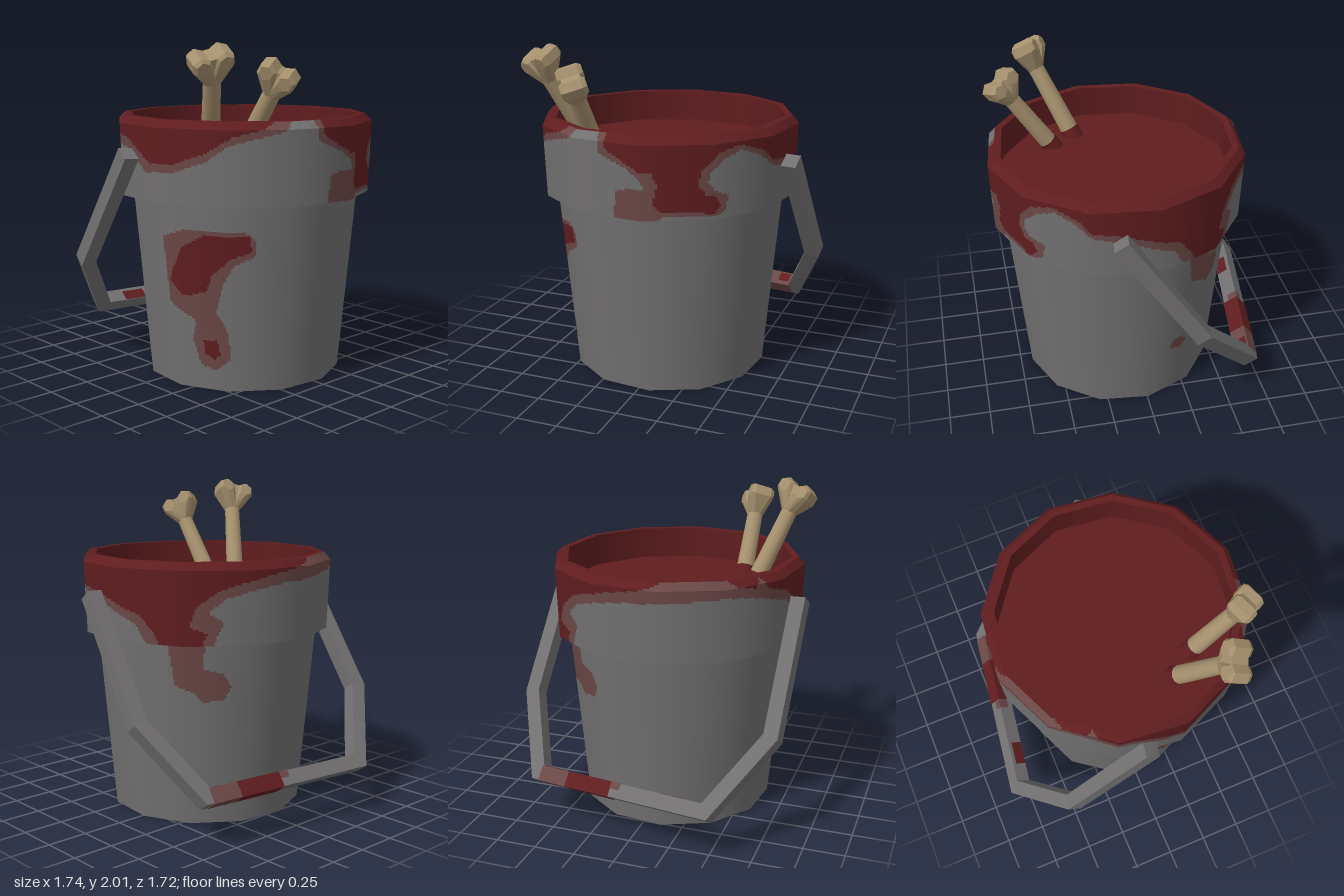
import * as THREE from 'three';
import { ConvexGeometry } from 'three/addons/geometries/ConvexGeometry.js';

const V = (x, y, z) => new THREE.Vector3(x, y, z);
const mat = (name, color) => Object.assign(new THREE.MeshStandardMaterial({ color }), { name });

const SIDES = 12, TURN = 8.6, CX = -0.025, CZ = 0.083;

// Painted areas on the bucket wall, as outlines in (degrees round the bucket, height)
const BLOOD = [
  // splashed band with drips
  [[-180, 1.53], [-172, 1.56], [-167, 1.6], [-142, 1.6], [-135, 1.54], [-126, 1.52], [-123, 1.57], [-118, 1.5],
    [-105, 1.46], [-95, 1.38], [-88, 1.33], [-75, 1.34], [-61, 1.4], [-48, 1.5], [-35, 1.54], [-28, 1.6], [-8, 1.6],
    [-7, 1.5], [0, 1.45], [8, 1.39], [13.5, 1.39], [16, 1.31], [14, 1.21], [17, 1.16], [40, 1.15], [43, 1.19],
    [41, 1.24], [36, 1.26], [33, 1.31], [34, 1.39], [42, 1.49], [52, 1.52], [64, 1.47], [70, 1.4], [80, 1.38],
    [98, 1.32], [108, 1.275], [114, 1.18], [117, 1.1], [136, 1.1], [139, 1.18], [131, 1.22], [134, 1.33],
    [143, 1.42], [155, 1.47], [166, 1.5], [180, 1.53], [180, 1.7], [-180, 1.7]],
  // smear and drop on the body
  [[-76, 0.85], [-64, 0.93], [-40, 0.93], [-39.5, 0.84], [-50, 0.8], [-60, 0.7], [-63, 0.6], [-76, 0.56], [-84, 0.65]],
  [[-65, 0.22], [-66, 0.3], [-58, 0.31], [-56, 0.22], [-60, 0.19]],
];
const STAIN = [
  [[-180, 1.46], [-160, 1.47], [-140, 1.49], [-125, 1.46], [-105, 1.4], [-92, 1.28], [-75, 1.29], [-60, 1.36],
    [-50, 1.45], [-38, 1.49], [-26, 1.53], [-22, 1.6], [-11, 1.6], [-10, 1.47], [3, 1.4], [9, 1.34], [11, 1.29],
    [-2, 1.28], [-4, 1.1], [15, 1.1], [18, 1.13], [42, 1.13], [46, 1.16], [47, 1.24], [40, 1.28], [37, 1.33],
    [38, 1.38], [44, 1.45], [53, 1.49], [63, 1.44], [70, 1.37], [98, 1.27], [106, 1.22], [111, 1.1], [141, 1.1],
    [146, 1.25], [139, 1.3], [147, 1.38], [160, 1.43], [180, 1.46], [180, 1.7], [-180, 1.7]],
  [[-88, 0.9], [-75, 0.955], [-42, 0.955], [-37, 0.9], [-37, 0.82], [-48, 0.76], [-54, 0.65], [-58, 0.48],
    [-52, 0.38], [-50, 0.2], [-59, 0.12], [-68, 0.15], [-72, 0.3], [-70, 0.42], [-86, 0.52]],
  [[118, 1.15], [121, 0.95], [122, 0.86], [132, 0.82], [136, 0.76], [147, 0.77], [151, 0.85], [147, 0.93],
    [137, 0.96], [138, 1.15]],
  [[112, 0.37], [114, 0.41], [120, 0.42], [123, 0.38], [120, 0.33], [114, 0.34]],
];

function inside(poly, x, y) {
  let hit = false;
  for (let i = 0, j = poly.length - 1; i < poly.length; j = i++) {
    const [ax, ay] = poly[i], [bx, by] = poly[j];
    if ((ay > y) !== (by > y) && x < ((bx - ax) * (y - ay)) / (by - ay) + ax) hit = !hit;
  }
  return hit;
}

// 0 metal, 1 blood, 2 stain
function paintAt(deg, y) {
  const d = ((deg + 540) % 360) - 180;
  if (BLOOD.some((p) => inside(p, d, y))) return 1;
  return STAIN.some((p) => inside(p, d, y)) ? 2 : 0;
}

// Twelve-sided wall between two profile points, smooth round, divided finely where painted
function wall(r0, y0, r1, y1, cols, rows, paint) {
  const pos = [], nor = [], lists = [[], [], []];
  const len = Math.hypot(r1 - r0, y1 - y0), nr = (y1 - y0) / len, ny = (r0 - r1) / len;
  const n = SIDES * cols;
  const rad = (k) => ((TURN + (k * 360) / SIDES) * Math.PI) / 180;
  for (let j = 0; j <= rows; j++) {
    const t = j / rows, r = r0 + (r1 - r0) * t, y = y0 + (y1 - y0) * t;
    for (let i = 0; i <= n; i++) {
      const k = Math.floor(i / cols), f = i / cols - k, a = rad(k), b = rad(k + 1), m = rad(i / cols);
      pos.push(r * (Math.sin(a) * (1 - f) + Math.sin(b) * f), y, r * (Math.cos(a) * (1 - f) + Math.cos(b) * f));
      nor.push(nr * Math.sin(m), ny, nr * Math.cos(m));
    }
  }
  for (let j = 0; j < rows; j++) {
    for (let i = 0; i < n; i++) {
      const a = j * (n + 1) + i, d = a + n + 1;
      const c = paint ? paintAt(TURN + ((i + 0.5) * 360) / n, y0 + ((y1 - y0) * (j + 0.5)) / rows) : 0;
      lists[c].push(a, a + 1, d + 1, a, d + 1, d);
    }
  }
  const g = new THREE.BufferGeometry();
  g.setAttribute('position', new THREE.Float32BufferAttribute(pos, 3));
  g.setAttribute('normal', new THREE.Float32BufferAttribute(nor, 3));
  g.setIndex(lists.flat());
  let start = 0;
  lists.forEach((l, c) => { if (l.length) g.addGroup(start, l.length, c); start += l.length; });
  return g;
}

export function createModel() {
  const model = new THREE.Group();
  const metal = mat('grey metal', 0x727070), blood = mat('dark red', 0x601d1f);
  const stain = mat('faded red stain', 0x6b4846), bone = mat('bone', 0xa6916e);
  const add = (parent, name, geo, m) => {
    const mesh = new THREE.Mesh(geo, m);
    mesh.name = name;
    parent.add(mesh);
    return mesh;
  };

  // Bucket: one closed profile, part by part
  const bucket = new THREE.Group();
  bucket.name = 'bucket';
  bucket.position.set(CX, 0, CZ);
  model.add(bucket);
  const painted = [metal, blood, stain];
  add(bucket, 'bottom', wall(0, 0, 0.6, 0, 1, 1), metal);
  add(bucket, 'body', wall(0.6, 0, 0.7, 1.11, 32, 88, true), painted);
  add(bucket, 'bandUnderside', wall(0.7, 1.11, 0.768, 1.11, 1, 1), metal);
  add(bucket, 'band', wall(0.768, 1.11, 0.784, 1.54, 32, 36, true), painted);
  add(bucket, 'rimBevel', wall(0.784, 1.54, 0.745, 1.583, 32, 4, true), painted);
  add(bucket, 'rimTop', wall(0.745, 1.583, 0.702, 1.583, 1, 1), blood);
  add(bucket, 'innerWall', wall(0.702, 1.583, 0.702, 1.385, 1, 1), blood);
  add(bucket, 'liquid', wall(0.702, 1.385, 0, 1.385, 1, 1), blood);

  // Handle: a mitred square bar in its own tilted plane (x across, y down, z outwards)
  const handle = new THREE.Group();
  handle.name = 'handle';
  const ex = V(0.9894, -0.0093, 0.1458).normalize(), ez = V(0.125, 0.571, -0.812).normalize();
  const ey = ez.clone().cross(ex).normalize();
  handle.applyMatrix4(new THREE.Matrix4().makeBasis(ex, ey, ex.clone().cross(ey)).setPosition(-0.0275, 1.3725, 0.0875));
  model.add(handle);
  const path = [[0.806, 0], [0.79, 0.845], [0.55, 1.346], [-0.577, 1.348], [-0.845, 0.849], [-0.806, 0]]
    .map(([x, y]) => new THREE.Vector2(x, y));
  const offset = (w) => path.map((p, i) => {
    const side = (a, b) => { const d = b.clone().sub(a).normalize(); return new THREE.Vector2(d.y, -d.x); };
    const n1 = side(path[Math.max(i - 1, 0)], path[Math.max(i, 1)]);
    const n2 = side(path[Math.min(i, 4)], path[Math.min(i + 1, 5)]);
    const m = n1.clone().add(n2).normalize();
    return p.clone().addScaledVector(m, w / m.dot(n1));
  });
  const outline = new THREE.Shape([...offset(0.045), ...offset(-0.045).reverse()]);
  const T = 0.097;
  // the lower part bends slightly outwards
  const bendOut = (g) => {
    const p = g.attributes.position;
    for (let i = 0; i < p.count; i++) p.setZ(i, p.getZ(i) + 0.08 * Math.max(0, p.getY(i) - 0.86));
    g.computeVertexNormals();
    return g;
  };
  const bar = new THREE.ExtrudeGeometry(outline, { depth: T, bevelEnabled: false }).translate(0, 0, -T / 2);
  add(handle, 'handleBar', bendOut(bar), metal);

  // Splashes on the lowest bar of the handle
  const splash = (x0, x1, y, h, z, d, m) =>
    add(handle, 'handleSplash', bendOut(new THREE.BoxGeometry(x1 - x0, h, d).translate((x0 + x1) / 2, y, z)), m);
  splash(0.04, 0.34, 1.347, 0.096, 0, T + 0.006, blood);
  splash(0.34, 0.53, 1.347, 0.095, 0, T + 0.005, stain);
  splash(0.44, 0.51, 1.32, 0.048, 0.01, 0.06, blood);
  splash(-0.43, -0.28, 1.325, 0.052, -0.01, 0.07, blood);
  splash(-0.02, 0.04, 1.32, 0.042, 0.02, 0.065, stain);

  // Bones: round shaft, red where it meets the liquid, and a faceted forked head
  const rod = (a, b, r0, r1) => {
    const dir = b.clone().sub(a), g = new THREE.CylinderGeometry(r1, r0, dir.length(), 12);
    g.applyQuaternion(new THREE.Quaternion().setFromUnitVectors(V(0, 1, 0), dir.clone().normalize()));
    return g.translate(...a.clone().add(b).multiplyScalar(0.5).toArray());
  };
  const addBone = (name, base, neck, knuckles) => {
    const group = new THREE.Group();
    group.name = name;
    model.add(group);
    const up = neck.clone().sub(base).normalize();
    const split = knuckles[1].clone().sub(knuckles[0]).normalize();
    const deep = split.clone().cross(up).normalize(), high = deep.clone().cross(split);
    const flat = up.clone().cross(deep).normalize();
    const ring = (c, u, v, r, n, shift) => Array.from({ length: n }, (_, i) => {
      const a = ((i + 0.5) * 2 * Math.PI) / n;
      return c.clone().addScaledVector(u, r * Math.cos(a)).addScaledVector(v, r * Math.sin(a)).addScaledVector(deep, shift);
    });
    const foot = base.clone().addScaledVector(up, -0.08);
    add(group, 'shaft', rod(foot, neck, 0.058, 0.05), bone);
    add(group, 'soakedEnd', rod(foot, base.clone().addScaledVector(up, 0.03), 0.061, 0.06), blood);
    const neckRing = ring(neck.clone().addScaledVector(up, -0.02), flat, deep, 0.05, 8, 0);
    const middle = [...neckRing];
    for (const [i, k] of knuckles.entries()) {
      const pts = [...neckRing];
      for (const [r, s] of [[0.042, -0.076], [0.058, -0.052], [0.058, 0.052], [0.042, 0.076]]) pts.push(...ring(k, split, high, r, 6, s));
      add(group, 'knuckle', new ConvexGeometry(pts), bone);
      const c = k.clone().lerp(knuckles[1 - i], 0.2);
      for (const s of [-0.055, 0.055]) middle.push(...ring(c, split, high, 0.03, 6, s));
    }
    add(group, 'forkMiddle', new ConvexGeometry(middle), bone);
  };
  addBone('outerBone', V(-0.478, 1.4, 0.282), V(-0.635, 1.81, 0.475), [V(-0.73, 1.9, 0.475), V(-0.612, 1.935, 0.53)]);
  addBone('frontBone', V(-0.36, 1.4, 0.435), V(-0.362, 1.74, 0.665), [V(-0.395, 1.865, 0.675), V(-0.332, 1.805, 0.755)]);

  return model;
}
